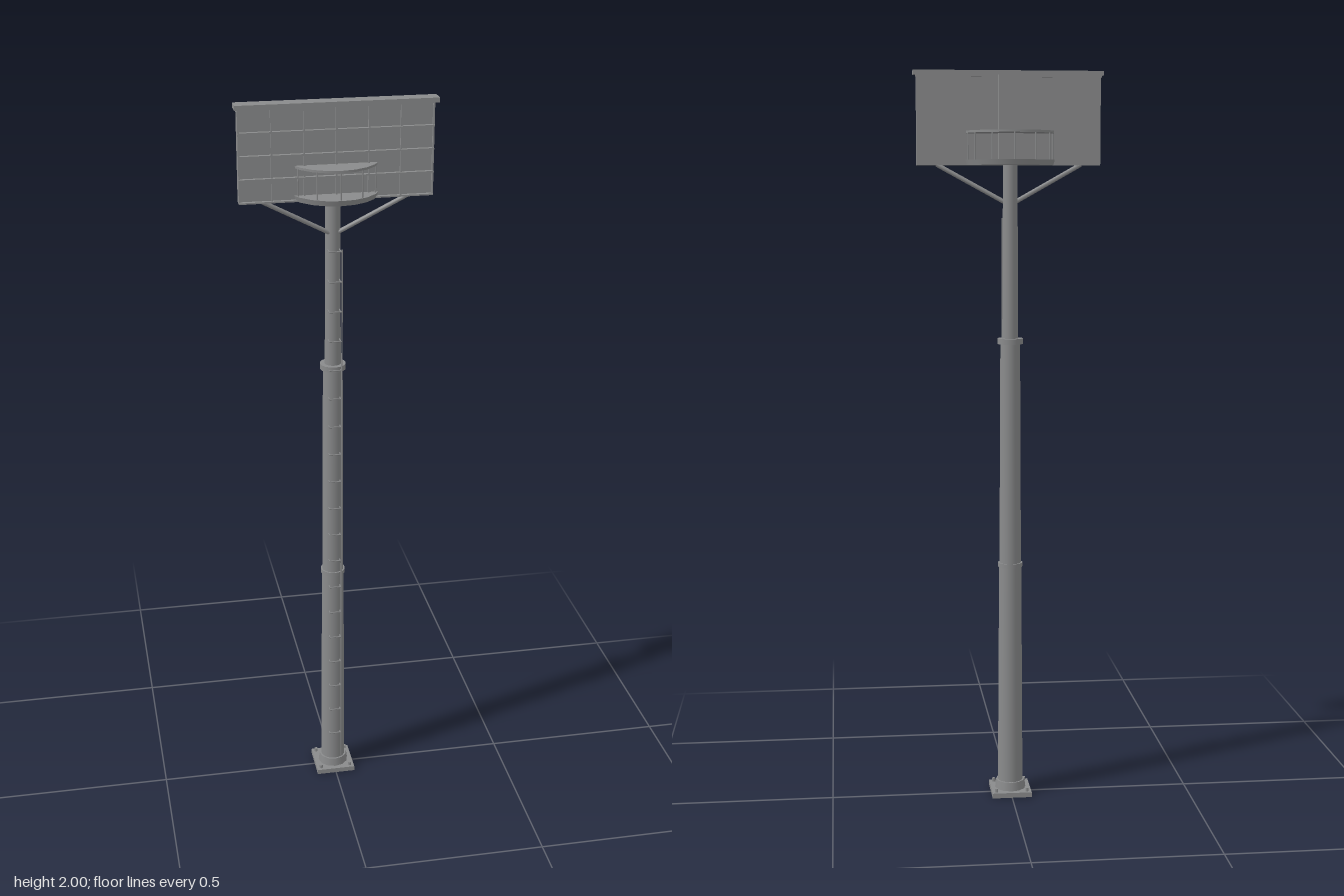
import * as THREE from 'three';

export function createModel() {
  const model = new THREE.Group();
  const steel = new THREE.MeshStandardMaterial({ color: 0x8a8b8c });
  steel.name = 'grey steel';

  function add(geometry, name, x = 0, y = 0, z = 0, parent = model) {
    const mesh = new THREE.Mesh(geometry, steel);
    mesh.name = name;
    mesh.position.set(x, y, z);
    parent.add(mesh);
    return mesh;
  }
  // Box given by its limits on each axis
  function box(name, x0, x1, y0, y1, z0, z1, parent) {
    return add(new THREE.BoxGeometry(x1 - x0, y1 - y0, z1 - z0), name,
      (x0 + x1) / 2, (y0 + y1) / 2, (z0 + z1) / 2, parent);
  }
  // Upright tapered cylinder between two heights
  function column(name, y0, y1, r0, r1, sides = 16, x = 0, z = 0, parent = model) {
    return add(new THREE.CylinderGeometry(r1, r0, y1 - y0, sides), name, x, (y0 + y1) / 2, z, parent);
  }
  // Round bar between two points
  function bar(name, a, b, r, sides = 6, parent = model) {
    const from = new THREE.Vector3(...a), to = new THREE.Vector3(...b);
    const dir = to.clone().sub(from);
    const mesh = add(new THREE.CylinderGeometry(r, r, dir.length(), sides), name, 0, 0, 0, parent);
    mesh.position.copy(from).add(to).multiplyScalar(0.5);
    mesh.quaternion.setFromUnitVectors(new THREE.Vector3(0, 1, 0), dir.normalize());
    return mesh;
  }
  function group(name) {
    const g = new THREE.Group();
    g.name = name;
    model.add(g);
    return g;
  }

  // Foot: square plate, collar and anchor bolts
  box('basePlate', -0.055, 0.055, 0, 0.014, -0.055, 0.055);
  column('baseCollar', 0.014, 0.038, 0.043, 0.04, 12);
  for (const x of [-0.043, 0.043]) for (const z of [-0.043, 0.043])
    column('anchorBolt', 0.014, 0.024, 0.005, 0.005, 6, x, z);

  // Mast in three sections with joint flanges
  column('lowerMast', 0.03, 0.66, 0.035, 0.031);
  column('lowerFlange', 0.653, 0.665, 0.034, 0.034);
  column('middleMast', 0.66, 1.28, 0.03, 0.027);
  column('upperFlange', 1.272, 1.287, 0.035, 0.035);
  column('upperMast', 1.28, 1.845, 0.022, 0.019);

  // Climbing rungs and a thin conduit on the front of the mast
  const ladder = group('ladder');
  for (let i = 0; i < 19; i++) {
    const y = 0.13 + i * 0.082;
    const z = y < 0.66 ? 0.039 : 0.035;
    bar('rung', [-0.016, y, z], [0.016, y, z], 0.002, 5, ladder);
    for (const x of [-0.015, 0.015]) bar('rungLeg', [x, y, 0.01], [x, y, z], 0.002, 5, ladder);
  }
  bar('conduit', [0.019, 0.03, 0.03], [0.019, 1.61, 0.03], 0.002, 5);

  // Round service platform, upper disc and posts between them
  column('platform', 1.75, 1.764, 0.116, 0.12, 20);
  column('upperDisc', 1.834, 1.84, 0.118, 0.118, 20);
  const posts = group('railPosts');
  for (let i = 0; i < 12; i++) {
    const a = i * Math.PI / 6;
    column('railPost', 1.76, 1.836, 0.002, 0.002, 5, Math.sin(a) * 0.114, Math.cos(a) * 0.114, posts);
  }

  // Control box behind the panel
  box('controlBox', -0.033, 0.033, 1.764, 1.985, -0.028, 0);

  // Lamp panel with ribs on the front and a top hood
  const panel = group('lampPanel');
  box('panelBody', -0.248, 0.248, 1.75, 1.99, 0.03, 0.05, panel);
  const columns = 6, rows = 4;
  for (let i = 0; i <= columns; i++) {
    const x = -0.246 + i * 0.492 / columns;
    box('verticalRib', x - 0.002, x + 0.002, 1.75, 1.988, 0.048, 0.057, panel);
  }
  for (let j = 0; j <= rows; j++) {
    const y = 1.752 + j * 0.234 / rows;
    box('horizontalRib', -0.248, 0.248, y - 0.002, y + 0.002, 0.048, 0.06, panel);
  }
  box('hood', -0.256, 0.256, 1.988, 2, 0.032, 0.072, panel);
  box('rearTopTrim', -0.25, 0.25, 1.982, 1.996, 0.027, 0.035, panel);

  // Diagonal struts from the mast to the panel
  for (const s of [-1, 1])
    bar(s < 0 ? 'rightStrut' : 'leftStrut', [s * 0.01, 1.65, 0.01], [s * 0.195, 1.752, 0.036], 0.006, 8);

  return model;
}
